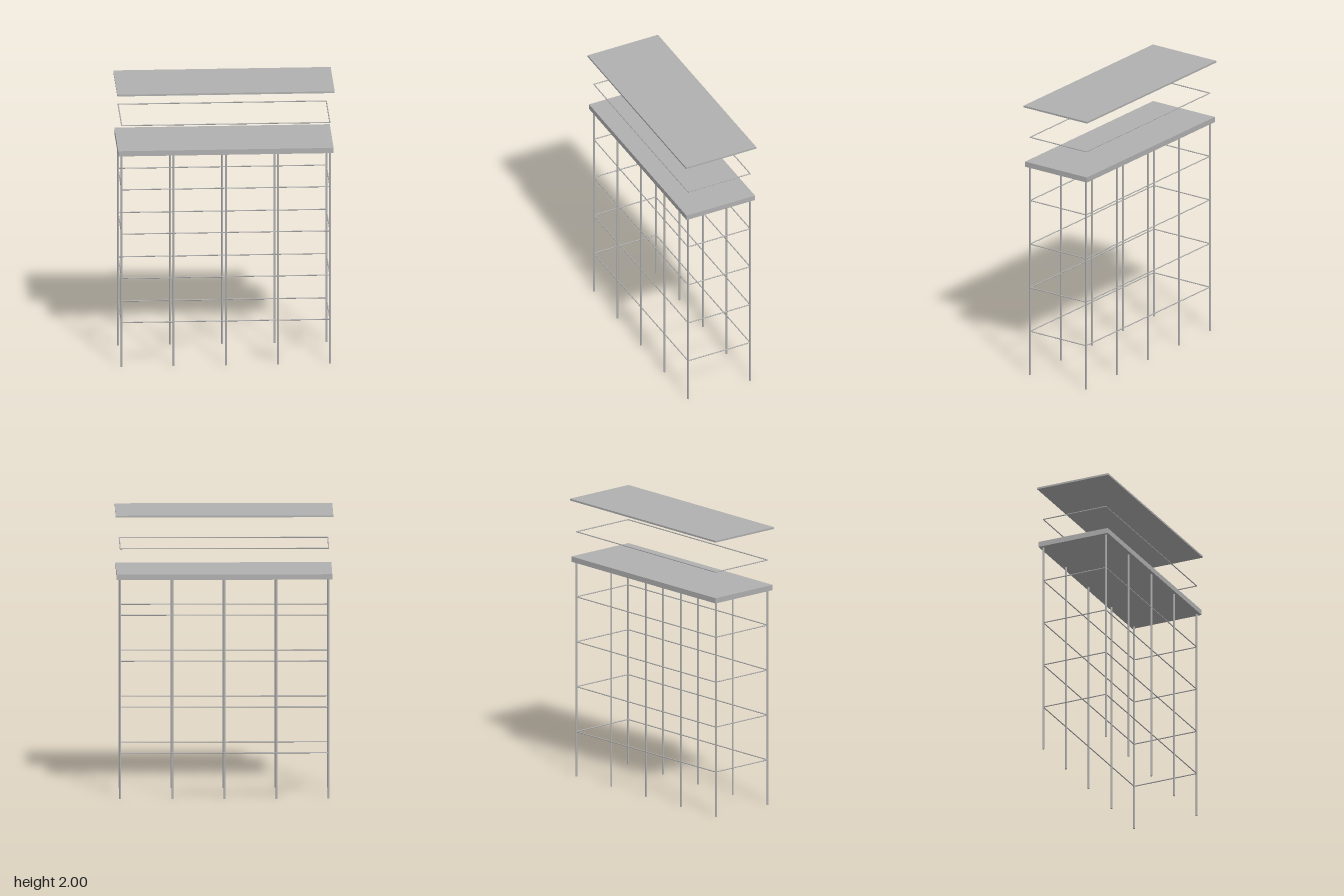
import * as THREE from 'three';

const HALF_X = 0.725, HALF_Z = 0.242;

export function createModel() {
  const model = new THREE.Group();
  model.name = 'frameTower';
  const grey = new THREE.MeshStandardMaterial({ name: 'plain grey', color: 0xb0b0b0 });

  function add(name, geometry, x, y, z, parent = model) {
    const mesh = new THREE.Mesh(geometry, grey);
    mesh.name = name;
    mesh.position.set(x, y, z);
    parent.add(mesh);
    return mesh;
  }

  // Rectangle of four thin round rails
  function railRing(name, y) {
    const ring = new THREE.Group();
    ring.name = name;
    ring.position.y = y;
    const radius = 0.004;
    const long = new THREE.CylinderGeometry(radius, radius, 2 * HALF_X, 10).rotateZ(Math.PI / 2);
    const short = new THREE.CylinderGeometry(radius, radius, 2 * HALF_Z, 10).rotateX(Math.PI / 2);
    for (const side of [-1, 1]) {
      add('longRail', long, 0, 0, side * HALF_Z, ring);
      add('endRail', short, side * HALF_X, 0, 0, ring);
    }
    model.add(ring);
  }

  // Two rows of five posts
  const postGeometry = new THREE.CylinderGeometry(0.007, 0.007, 1.55, 12);
  for (const side of [-1, 1]) {
    for (let i = -2; i <= 2; i++) {
      add('post', postGeometry, i * HALF_X / 2, 0.775, side * HALF_Z);
    }
  }

  // Four levels of rails on the posts, and one floating above the deck
  for (let level = 1; level <= 4; level++) railRing('railLevel', level * 0.3235);
  railRing('floatingFrame', 1.763);

  // Thick deck and thin top panel
  add('deck', new THREE.BoxGeometry(1.5, 0.038, 0.534), 0, 1.565, 0);
  add('topPanel', new THREE.BoxGeometry(1.514, 0.013, 0.548), 0, 1.9935, 0);

  return model;
}
